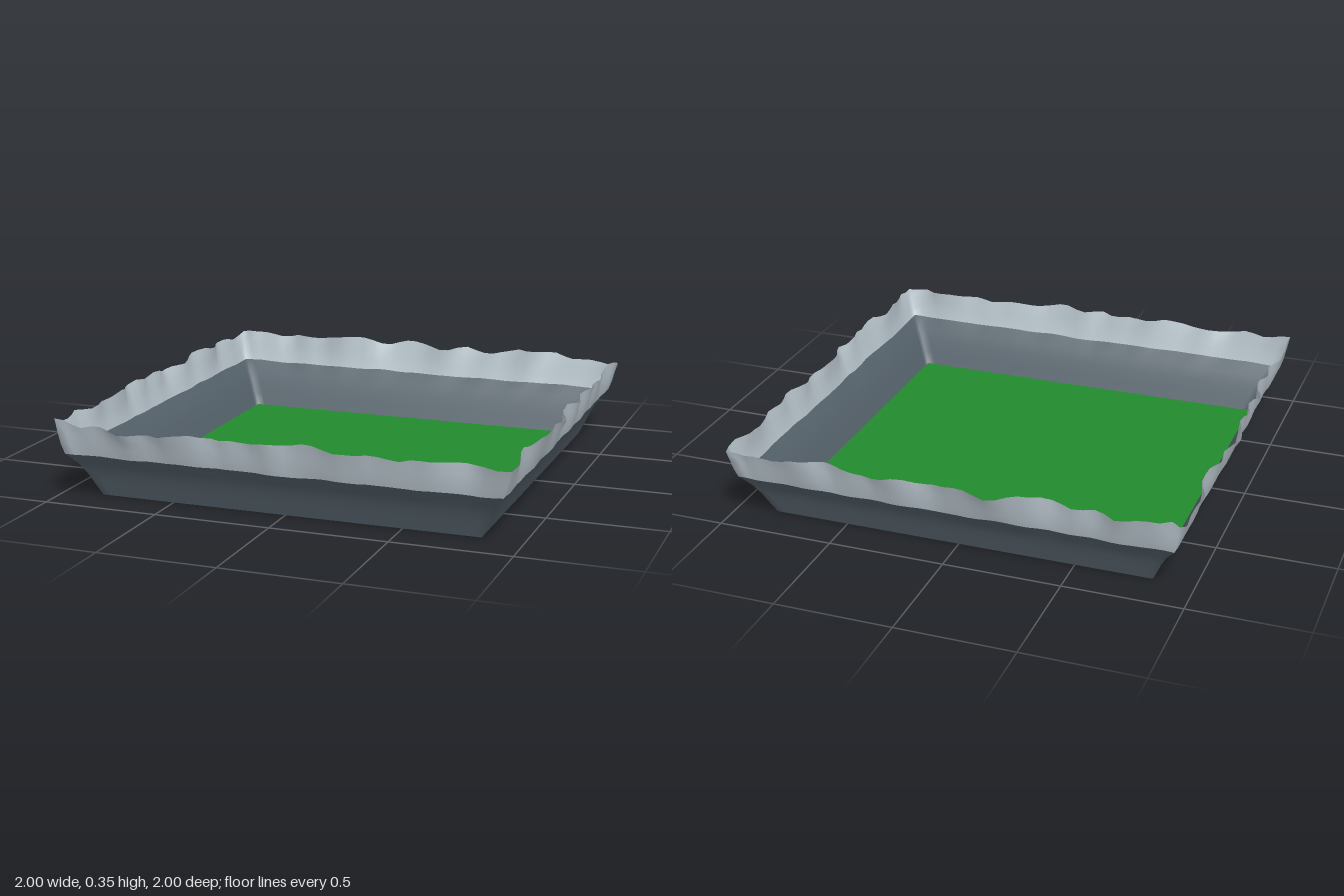
import * as THREE from 'three';

const SEG = 44;          // segments along each side
const COUNT = SEG * 4;

// Small seeded generator
function seeded(seed) {
  let s = seed;
  return () => (s = (s * 16807) % 2147483647) / 2147483647;
}

// Closed loop of noise in -1..1: broad waves with finer jags on top
function loopNoise(seed) {
  const rnd = seeded(seed);
  const raw = Array.from({ length: COUNT }, () => rnd() * 2 - 1);
  return raw.map((v, i) => {
    const a = raw[(i + COUNT - 1) % COUNT], b = raw[(i + 1) % COUNT];
    return THREE.MathUtils.clamp(0.6 * v + 0.4 * (a + b), -1, 1);
  });
}

const outNoise = loopNoise(7331);
const upNoise = loopNoise(90217);
const seamNoise = loopNoise(4153);

// One square ring: half size, height, and how far the noise moves it
function ring({ half, y, out = 0, up = 0, seam = 0 }) {
  const points = [];
  for (let i = 0; i < COUNT; i++) {
    const side = Math.floor(i / SEG);
    const along = ((i % SEG) / SEG * 2 - 1) * half;
    const p = new THREE.Vector3(along, y + upNoise[i] * up + seamNoise[i] * seam, half + outNoise[i] * out);
    points.push(p.applyAxisAngle(new THREE.Vector3(0, 1, 0), side * Math.PI / 2));
  }
  return points;
}

// Skin a stack of rings, facing inward and upward
function skin(profile) {
  const positions = profile.flatMap(r => ring(r).flatMap(p => p.toArray()));
  const index = [];
  for (let r = 0; r < profile.length - 1; r++) {
    for (let i = 0; i < COUNT; i++) {
      const j = (i + 1) % COUNT;
      const a = r * COUNT + i, b = r * COUNT + j;
      const c = a + COUNT, d = b + COUNT;
      index.push(a, c, b, b, c, d);
    }
  }
  const geo = new THREE.BufferGeometry();
  geo.setAttribute('position', new THREE.Float32BufferAttribute(positions, 3));
  geo.setIndex(index);
  geo.computeVertexNormals();
  return geo;
}

function material(name, color) {
  const m = new THREE.MeshStandardMaterial({ color, side: THREE.DoubleSide });
  m.name = name;
  return m;
}

export function createModel() {
  const group = new THREE.Group();
  group.name = 'walledField';
  const add = (name, geo, mat) => {
    const mesh = new THREE.Mesh(geo, mat);
    mesh.name = name;
    group.add(mesh);
    return mesh;
  };

  // Flat grass floor
  const floor = new THREE.PlaneGeometry(1.65, 1.65).rotateX(-Math.PI / 2);
  add('grassFloor', floor, material('grass green', 0x228b2e));

  // Dark sloping rock wall
  const seam = { half: 0.938, y: 0.2, out: 0.004, seam: 0.004 };
  add('rockSlope', skin([
    { half: 0.825, y: 0 },
    { half: 0.848, y: 0.05 },
    { half: 0.87, y: 0.1 },
    { half: 0.898, y: 0.15 },
    seam,
  ]), material('dark slate', 0x56636c));

  // Pale jagged rim
  add('jaggedRim', skin([
    seam,
    { half: 0.951, y: 0.24, out: 0.008 },
    { half: 0.961, y: 0.285, out: 0.015, up: 0.006 },
    { half: 0.973, y: 0.333, out: 0.027, up: 0.019 },
  ]), material('pale stone', 0xb8c4cc));

  return group;
}
